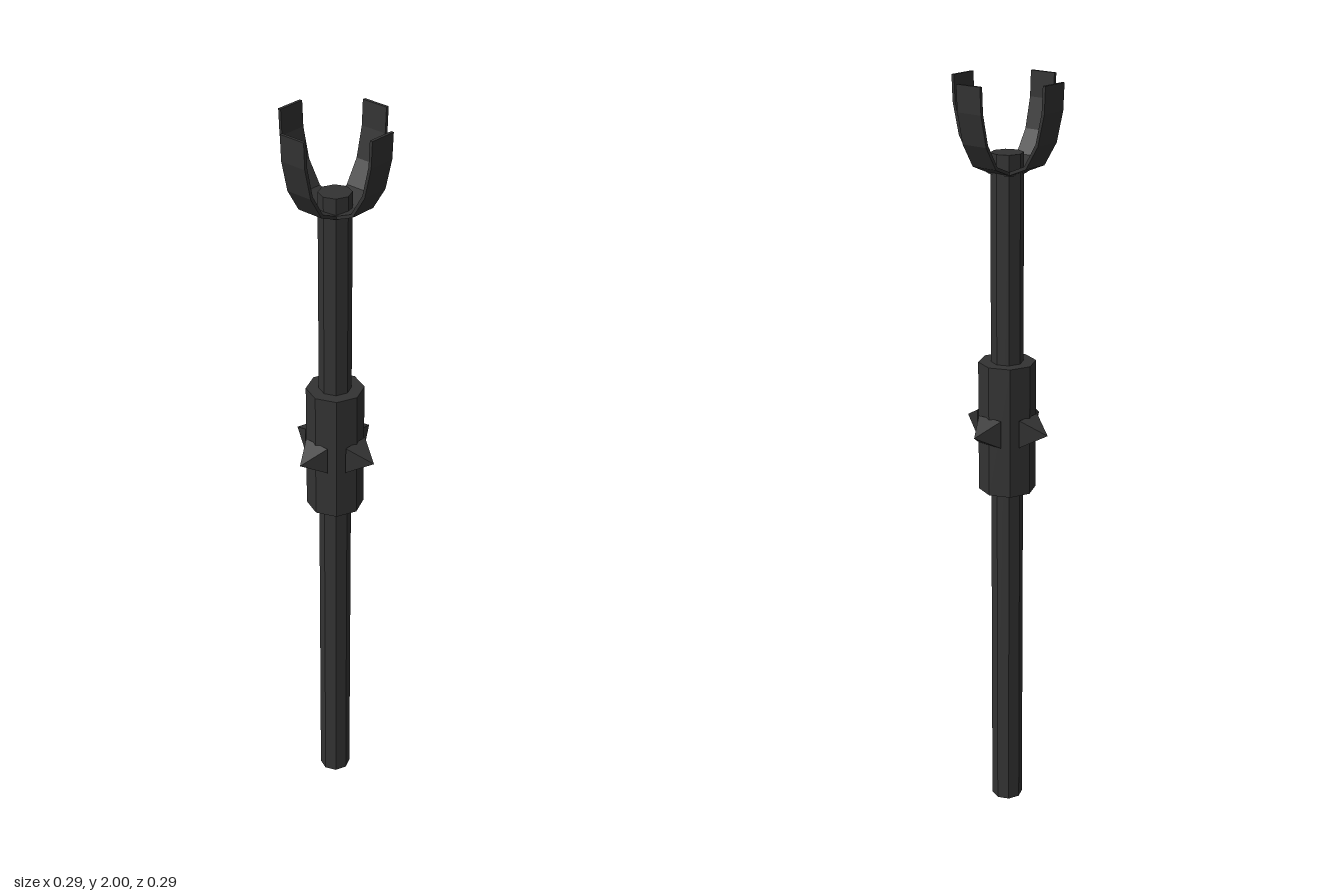
import * as THREE from 'three';

export function createModel() {
  const model = new THREE.Group();
  model.name = 'staff';
  const darkMetal = new THREE.MeshStandardMaterial({ color: 0x333333, flatShading: true });
  darkMetal.name = 'dark metal';

  const add = (geometry, name, parent = model) => {
    const mesh = new THREE.Mesh(geometry, darkMetal);
    mesh.name = name;
    parent.add(mesh);
    return mesh;
  };
  // Octagonal rod between two heights
  const rod = (radius, bottom, top) =>
    new THREE.CylinderGeometry(radius, radius, top - bottom, 8).translate(0, (bottom + top) / 2, 0);

  add(rod(0.042, 0, 1.82), 'shaft');
  add(rod(0.075, 0.93, 1.28), 'collar');

  // Square pyramid spike pointing along +x
  const half = 0.037;
  const spike = new THREE.ConeGeometry(half * Math.SQRT2, 0.064, 4)
    .rotateY(Math.PI / 4)
    .rotateZ(-Math.PI / 2)
    .translate(0.102, 1.105, 0);

  // Curved flat prong: outer edge outwards, inner edge back
  const outer = [[0, 1.766], [0.03, 1.769], [0.088, 1.793], [0.125, 1.853], [0.144, 1.933], [0.147, 2]];
  const inner = [[0.139, 2], [0.136, 1.935], [0.118, 1.858], [0.083, 1.8], [0.028, 1.777], [0, 1.774]];
  const outline = new THREE.Shape([...outer, ...inner].map(([x, y]) => new THREE.Vector2(x, y)));
  const prong = new THREE.ExtrudeGeometry(outline, { depth: 2 * half, bevelEnabled: false })
    .translate(0, 0, -half);

  // Four spikes and four prongs around the shaft
  for (let i = 0; i < 4; i++) {
    const side = new THREE.Group();
    side.name = `side${i + 1}`;
    side.rotation.y = (i * Math.PI) / 2;
    add(spike, 'spike', side);
    add(prong, 'prong', side);
    model.add(side);
  }
  return model;
}
